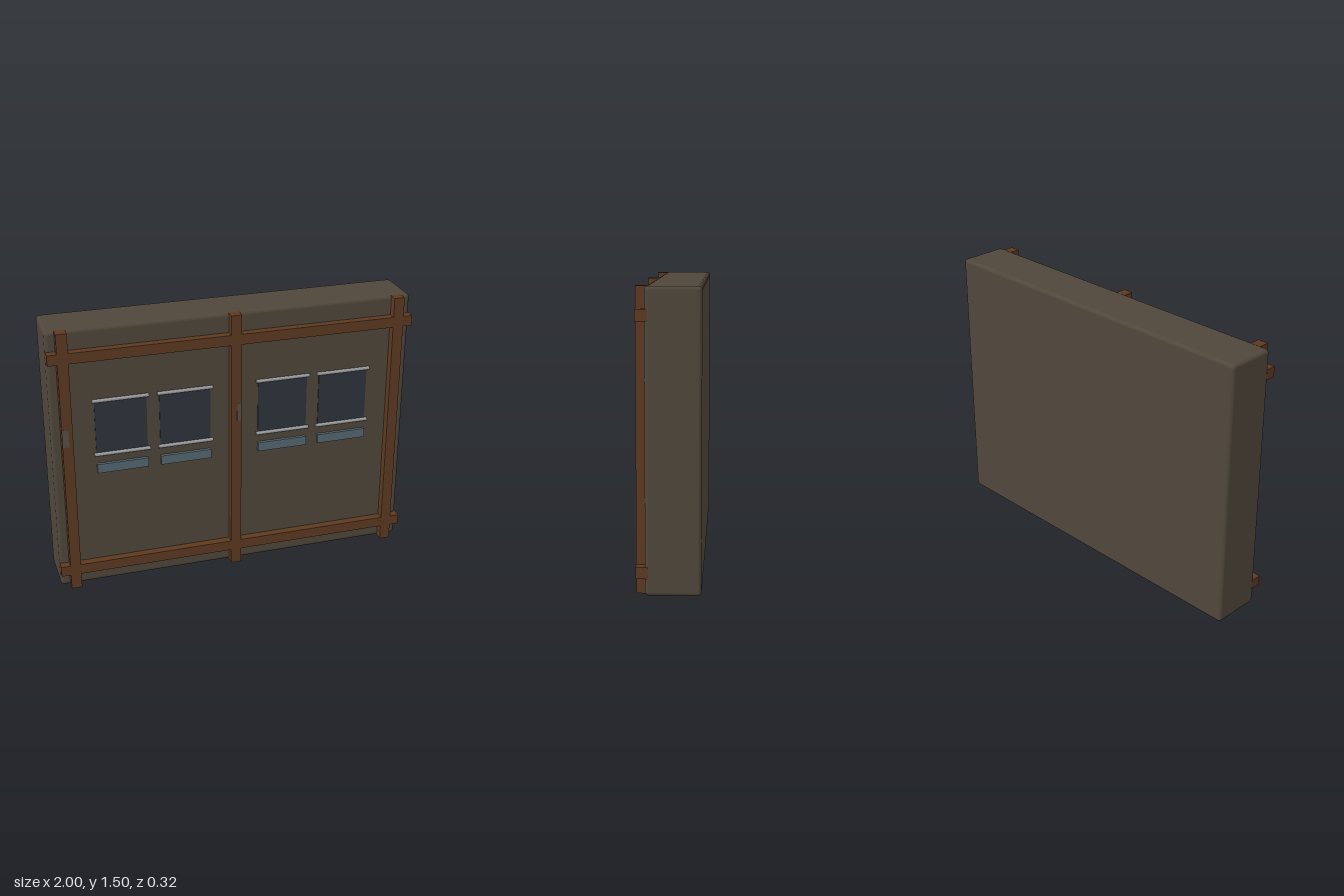
import * as THREE from 'three';
import { RoundedBoxGeometry } from 'three/addons/geometries/RoundedBoxGeometry.js';

const mat = (name, color) => {
  const m = new THREE.MeshStandardMaterial({ color });
  m.name = name;
  return m;
};

export function createModel() {
  const group = new THREE.Group();
  group.name = 'wallPanel';

  const plaster = mat('plaster', 0x50473b);
  const wood = mat('wood', 0x5e3a21);
  const glass = mat('glass', 0x2e353d);
  const metal = mat('metal', 0x9a9c9e);
  const slate = mat('slate', 0x566873);
  const iron = mat('iron', 0x57504a);

  const add = (name, geometry, material, x, y, z) => {
    const mesh = new THREE.Mesh(geometry, material);
    mesh.name = name;
    mesh.position.set(x, y, z);
    group.add(mesh);
    return mesh;
  };
  const box = (name, material, w, h, d, x, y, z) =>
    add(name, new THREE.BoxGeometry(w, h, d), material, x, y, z);

  // Wall slab with softened edges
  add('wall', new RoundedBoxGeometry(2, 1.5, 0.275, 3, 0.02), plaster, 0, 0.75, -0.0225);

  // Timber frame on the front face
  for (const x of [-0.92, 0, 0.92]) box('post', wood, 0.058, 1.5, 0.06, x, 0.75, 0.13);
  for (const y of [0.115, 1.363]) box('crossBeam', wood, 2, 0.058, 0.0595, 0, y, 0.13);

  // Four windows, each with a rail above and below and a sill plate
  for (const x of [-0.625, -0.275, 0.275, 0.625]) {
    box('windowPane', glass, 0.28, 0.31, 0.008, x, 0.94, 0.116);
    for (const y of [0.785, 1.096]) {
      const rail = add('windowRail', new THREE.CylinderGeometry(0.01, 0.01, 0.305, 10), metal, x, y, 0.125);
      rail.rotation.z = Math.PI / 2;
    }
    box('sillPlate', slate, 0.28, 0.052, 0.025, x, 0.703, 0.12);
  }

  // Small handles set into the left and middle posts
  box('handle', iron, 0.034, 0.1, 0.02, -0.93, 0.918, 0.151);
  box('handle', iron, 0.022, 0.1, 0.02, 0.015, 0.945, 0.151);

  return group;
}
